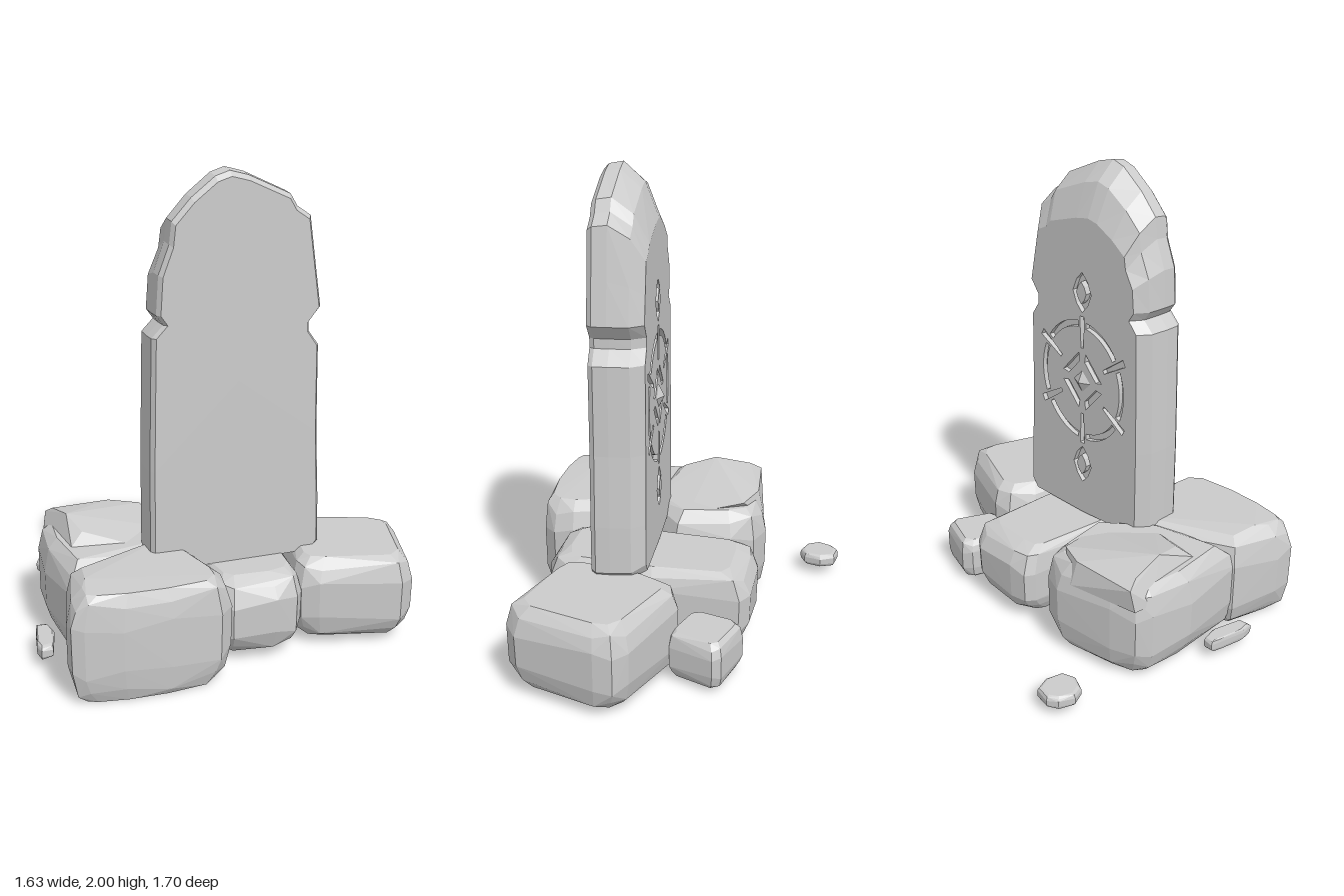
import * as THREE from 'three';
import { ConvexGeometry } from 'three/addons/geometries/ConvexGeometry.js';

const V2 = (p) => new THREE.Vector2(p[0], p[1]);
const material = new THREE.MeshStandardMaterial({ color: 0xcccccc, flatShading: true });

function add(parent, name, geometry) {
  const mesh = new THREE.Mesh(geometry, material);
  mesh.name = name;
  parent.add(mesh);
  return mesh;
}

// Rounded, faceted boulder: a footprint in x,z swelled and shrunk over its height
const SWELL = [[0, 0.8], [0.1, 0.92], [0.28, 0.99], [0.7, 1], [0.9, 0.93], [1, 0.79]];
function boulder(footprint, y0, y1, extra = []) {
  const n = footprint.length;
  const cx = footprint.reduce((s, p) => s + p[0], 0) / n;
  const cz = footprint.reduce((s, p) => s + p[1], 0) / n;
  const points = extra.map((p) => new THREE.Vector3(...p));
  SWELL.forEach(([t, s], k) => footprint.forEach(([x, z], i) => {
    const wobble = 0.04 * (y1 - y0) * Math.sin(i * 2.3 + k * 1.7);
    const y = y0 + t * (y1 - y0) + (k > 0 && k < 5 ? wobble : 0);
    points.push(new THREE.Vector3(cx + (x - cx) * s, y, cz + (z - cz) * s));
  }));
  return new ConvexGeometry(points);
}

// Slab outline, anticlockwise, with a chipped notch on each edge
const OUTLINE = [
  [-0.35, 0.36], [0, 0.355], [0.35, 0.37], [0.375, 0.42], [0.375, 0.8], [0.37, 1.1], [0.365, 1.35],
  [0.315, 1.4], [0.345, 1.44], [0.335, 1.6], [0.29, 1.72], [0.28, 1.81], [0.2, 1.9], [0.1, 1.98],
  [0.04, 2], [-0.04, 1.98], [-0.22, 1.9], [-0.25, 1.85], [-0.31, 1.81], [-0.34, 1.6], [-0.365, 1.43],
  [-0.315, 1.37], [-0.315, 1.33], [-0.36, 1.27], [-0.365, 0.9], [-0.38, 0.6], [-0.385, 0.4],
];
// depth, width scale, scale of the part above the shoulder
const LAYERS = [[-0.11, 0.96, 0.94], [-0.09, 1, 0.98], [-0.03, 1, 1], [0.055, 0.98, 0.86], [0.11, 0.87, 0.6]];
const ringAt = ([, sx, sy]) => OUTLINE.map(([x, y]) => [
  x * sx, y > 1.45 ? 1.45 + (y - 1.45) * sy : y < 0.45 ? y + (1 - sx) * 0.2 : y,
]);

function slabBody() {
  const n = OUTLINE.length, pos = [], index = [];
  LAYERS.forEach((layer, k) => {
    ringAt(layer).forEach(([x, y]) => pos.push(x, y, layer[0]));
    for (let i = 0; i < n && k > 0; i++) {
      const j = (i + 1) % n, a = (k - 1) * n, b = k * n;
      index.push(a + i, a + j, b + j, a + i, b + j, b + i);
    }
  });
  pos.push(0, 1.15, LAYERS[0][0]);
  for (let i = 0; i < n; i++) index.push(LAYERS.length * n, (i + 1) % n, i);
  const g = new THREE.BufferGeometry();
  g.setAttribute('position', new THREE.Float32BufferAttribute(pos, 3));
  g.setIndex(index);
  const flat = g.toNonIndexed();
  flat.computeVertexNormals();
  return flat;
}

const CY = 1.04; // height of the carving's centre
const polar = (r, a, ry = 1.12) => [r * Math.cos(a), CY + r * ry * Math.sin(a)];

// Curved groove between two angles and two radii
function arcGroove(r0, r1, a0, a1, steps = 7) {
  const pts = [];
  for (let i = 0; i <= steps; i++) pts.push(polar(r1, a0 + (a1 - a0) * i / steps));
  for (let i = steps; i >= 0; i--) pts.push(polar(r0, a0 + (a1 - a0) * i / steps));
  return pts;
}

const lozenge = (y, w, h) => [[w, y], [w * 0.6, y + h * 0.6], [0, y + h], [-w * 0.6, y + h * 0.6],
  [-w, y], [-w * 0.6, y - h * 0.6], [0, y - h], [w * 0.6, y - h * 0.6]];

function shapeOf(points, holes = []) {
  const s = new THREE.Shape(points.map(V2));
  holes.forEach((h) => s.holes.push(new THREE.Path(h.map(V2))));
  return s;
}

function plate(shape, depth, z) {
  const g = new THREE.ExtrudeGeometry(shape, { depth, bevelEnabled: false });
  return g.translate(0, 0, z);
}

function carvedSlab() {
  const slab = new THREE.Group();
  slab.name = 'standingSlab';
  add(slab, 'slabBody', slabBody());

  const grooves = [];
  for (let i = 0; i < 6; i++) {
    const a = Math.PI / 2 + i * Math.PI / 3;
    grooves.push(arcGroove(0.225, 0.25, a + 0.1, a + Math.PI / 3 - 0.1)); // broken ring
    if (i % 3) grooves.push(arcGroove(0.15, 0.29, a - 0.05, a + 0.05, 1)); // side spokes
    else grooves.push(arcGroove(0.14, 0.27, a - 0.05, a + 0.05, 1)); // spokes to the nodes
  }
  // Diamond of four strokes round the centre
  for (let i = 0; i < 4; i++) {
    const a = i * Math.PI / 2 + 0.18, b = a + Math.PI / 2 - 0.36;
    grooves.push([polar(0.12, a), polar(0.12, b), polar(0.085, b), polar(0.085, a)]);
  }
  const nodes = [1.45, 0.63].map((y) => lozenge(y, 0.055, 0.09));
  grooves.push(...nodes);

  const front = LAYERS[LAYERS.length - 1];
  add(slab, 'carvedFace', plate(shapeOf(ringAt(front), grooves), 0.025, 0.085));
  const floor = add(slab, 'grooveFloor', new THREE.CircleGeometry(1, 24));
  floor.scale.set(0.3, 0.52, 1);
  floor.position.set(0, CY, 0.088);

  // Raised bosses inside the nodes and the centre
  for (const y of [1.45, 0.63]) add(slab, 'nodeBoss', plate(shapeOf(lozenge(y, 0.03, 0.05)), 0.03, 0.085));
  const boss = add(slab, 'centreBoss', new THREE.ConeGeometry(0.06, 0.03, 4));
  boss.rotation.x = Math.PI / 2;
  boss.position.set(0, CY, 0.12);

  slab.rotation.y = -1.94;
  slab.position.set(0.21, 0, -0.05);
  return slab;
}

export function createModel() {
  const group = new THREE.Group();
  group.name = 'standingStone';
  group.add(carvedSlab());

  // Foundation boulders
  add(group, 'frontBoulderRight', boulder([[-0.48, 0.42], [-0.47, 0.3], [-0.41, 0.03], [-0.33, -0.05],
    [-0.22, -0.06], [0.02, 0], [0.12, 0.3], [0.06, 0.67], [-0.25, 0.58], [-0.44, 0.48]], 0.02, 0.44));
  add(group, 'boulderLedge', new ConvexGeometry([[-0.49, 0.36, 0.42], [-0.495, 0.46, 0.4], [-0.44, 0.49, 0.4],
    [-0.28, 0.52, 0.44], [-0.14, 0.485, 0.46], [-0.12, 0.44, 0.53], [-0.42, 0.37, 0.47], [-0.4, 0.47, 0.12],
    [-0.3, 0.46, 0.02], [0.02, 0.43, 0.3], [-0.05, 0.42, 0.05], [-0.42, 0.36, 0.1]].map((p) => new THREE.Vector3(...p))));
  add(group, 'frontBoulderLeft', boulder([[0, 0.1], [0.45, 0.18], [0.53, 0.22], [0.56, 0.3], [0.5, 0.5],
    [0.42, 0.68], [0.34, 0.81], [0.3, 0.845], [0.22, 0.81], [0.03, 0.67]], 0, 0.45, [[0.2, 0.46, 0.7]]));
  add(group, 'middleBoulder', boulder([[-0.31, -0.18], [-0.29, -0.26], [-0.2, -0.46], [-0.14, -0.5],
    [0.2, -0.36], [0.54, -0.17], [0.585, -0.1], [0.57, 0], [0.49, 0.17], [0.43, 0.19], [0.2, 0.12],
    [-0.28, -0.14]], 0.03, 0.37));
  add(group, 'backBoulder', boulder([[0.12, -0.48], [0.13, -0.56], [0.38, -0.82], [0.45, -0.85], [0.52, -0.82],
    [0.79, -0.59], [0.81, -0.5], [0.6, -0.22], [0.54, -0.17], [0.48, -0.18], [0.2, -0.38]], 0.03, 0.39));

  // Loose stones
  add(group, 'smallStone', boulder([[-0.13, -0.6], [0, -0.75], [0.04, -0.755], [0.18, -0.61], [0.17, -0.56],
    [0.06, -0.44], [0.01, -0.44], [-0.12, -0.55]], 0.02, 0.22));
  add(group, 'sidePebble', boulder([[-0.82, 0.18], [-0.78, 0.12], [-0.71, 0.12], [-0.65, 0.17], [-0.65, 0.23],
    [-0.7, 0.28], [-0.76, 0.28], [-0.81, 0.23]], 0.04, 0.1));
  add(group, 'frontPebble', boulder([[-0.21, 0.66], [-0.19, 0.62], [-0.12, 0.63], [0, 0.72], [-0.01, 0.77],
    [-0.06, 0.76], [-0.17, 0.69]], 0.04, 0.1));
  return group;
}
